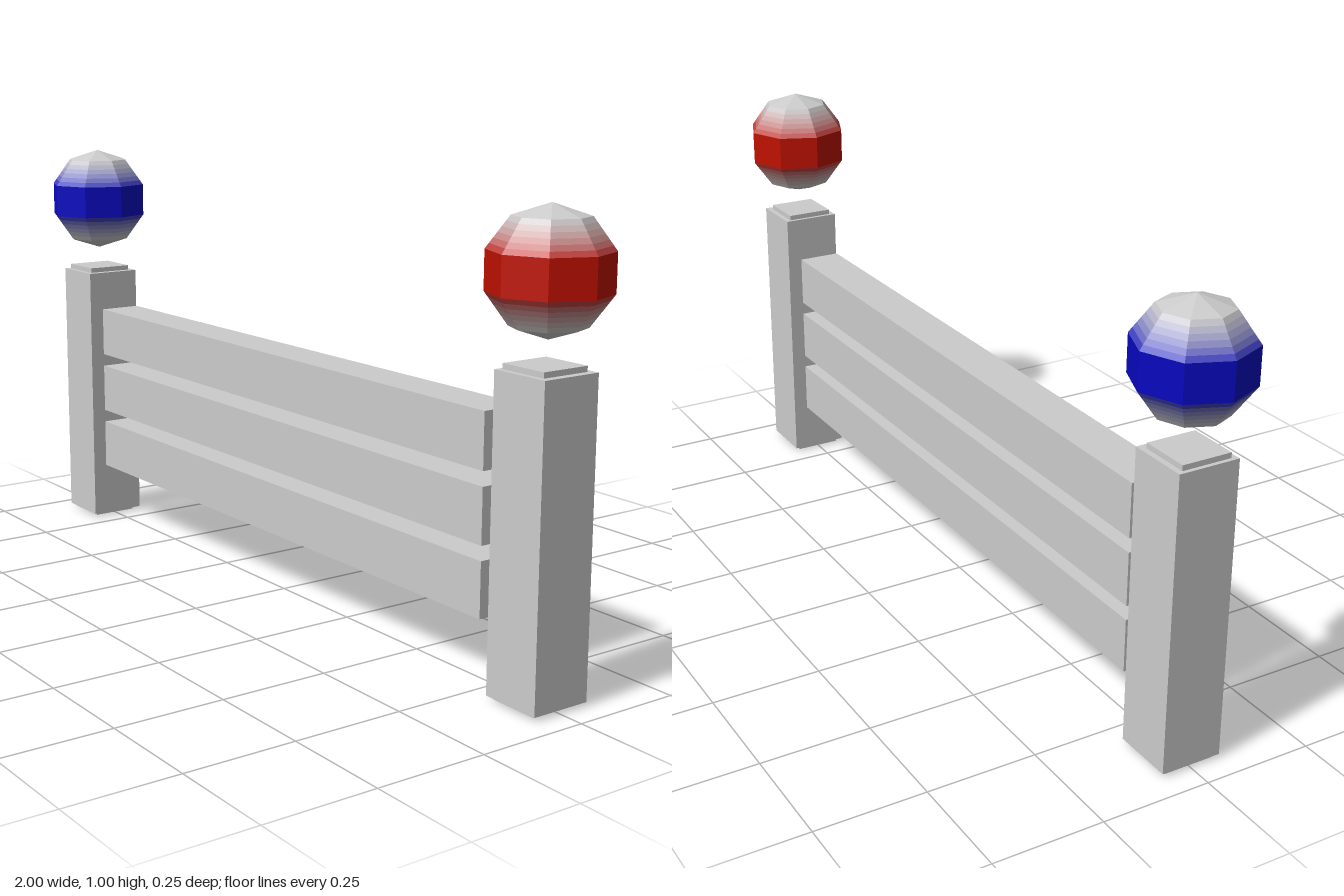
import * as THREE from 'three';

const GREY = 0xcccccc;

function material(color = GREY) {
  return new THREE.MeshStandardMaterial({ color, flatShading: true });
}

function box(name, size, position) {
  const mesh = new THREE.Mesh(new THREE.BoxGeometry(...size), material());
  mesh.name = name;
  mesh.position.set(...position);
  return mesh;
}

// Eight-sided ball: coloured belt fading to grey towards both poles
function createBall(name, color) {
  const ball = new THREE.Group();
  ball.name = name;
  const radius = 0.131;
  const fadeSteps = 6;
  const ring = (i) => {
    const a = -Math.PI / 2 + (i * Math.PI) / 5;
    return new THREE.Vector2(i % 5 ? radius * Math.cos(a) : 0, radius * Math.sin(a));
  };
  const addBand = (bandName, from, to, bandColor) => {
    const band = new THREE.Mesh(new THREE.LatheGeometry([from, to], 8), material(bandColor));
    band.name = bandName;
    ball.add(band);
  };

  addBand('bottomCap', ring(0), ring(1), GREY);
  addBand('belt', ring(2), ring(3), color);
  addBand('topCap', ring(4), ring(5), GREY);

  // Thin strips step the colour from grey to the belt
  for (const [bandName, grey, belt] of [['lowerFade', 1, 2], ['upperFade', 4, 3]]) {
    for (let s = 0; s < fadeSteps; s++) {
      const a = ring(grey).lerp(ring(belt), s / fadeSteps);
      const b = ring(grey).lerp(ring(belt), (s + 1) / fadeSteps);
      const mix = new THREE.Color(GREY).lerp(new THREE.Color(color), (s + 0.5) / fadeSteps);
      addBand(bandName, a.y < b.y ? a : b, a.y < b.y ? b : a, mix);
    }
  }
  return ball;
}

export function createModel() {
  const model = new THREE.Group();
  model.name = 'fence';

  // Posts with a slimmer core showing at both ends, each under a floating ball
  for (const [side, s, color] of [['left', 1, 0xc01000], ['right', -1, 0x0808c0]]) {
    const x = s * 0.873;
    model.add(box(`${side}Post`, [0.14, 0.666, 0.14], [x, 0.342, 0]));
    model.add(box(`${side}PostCore`, [0.114, 0.687, 0.114], [x - 0.004, 0.3435, 0]));

    const ball = createBall(`${side}Ball`, color);
    ball.position.set(s * 0.875, 0.867, 0);
    model.add(ball);
  }

  // Three horizontal rails
  for (let i = 0; i < 3; i++) {
    model.add(box('rail', [1.53, 0.122, 0.104], [-0.01, 0.212 + i * 0.154, -0.003]));
  }

  return model;
}
